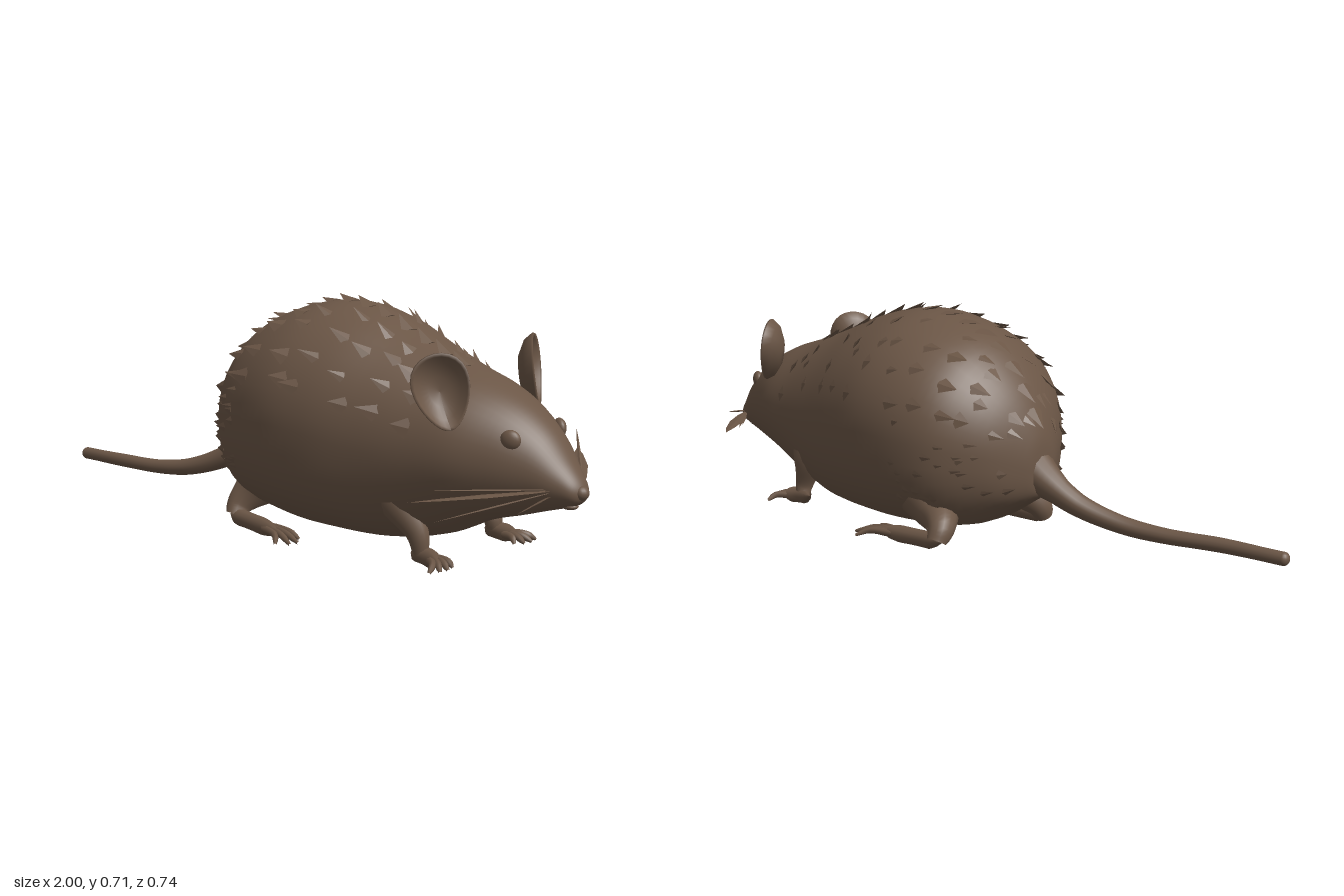
import * as THREE from 'three';
import { mergeGeometries } from 'three/addons/utils/BufferGeometryUtils.js';
import { ConvexGeometry } from 'three/addons/geometries/ConvexGeometry.js';

const V = (x, y, z) => new THREE.Vector3(x, y, z);

// Body stations from rump to snout: x, top, bottom, half width, centre z
const STATIONS = [
  [-0.295, 0.27, 0.2, 0.02, 0.035], [-0.28, 0.37, 0.17, 0.075, 0.03], [-0.22, 0.5, 0.13, 0.185, 0.02],
  [-0.12, 0.61, 0.07, 0.285, 0.02], [0, 0.665, 0.048, 0.33, 0.02], [0.15, 0.69, 0.036, 0.34, 0.022],
  [0.3, 0.665, 0.035, 0.315, 0.02], [0.45, 0.605, 0.042, 0.275, 0.012], [0.58, 0.555, 0.075, 0.238, 0.005],
  [0.7, 0.515, 0.13, 0.2, -0.005], [0.8, 0.465, 0.16, 0.148, -0.015], [0.88, 0.4, 0.185, 0.1, -0.025],
  [0.94, 0.325, 0.203, 0.062, -0.031], [0.975, 0.28, 0.217, 0.037, -0.035], [0.99, 0.25, 0.235, 0.008, -0.037],
];
const heightCurve = new THREE.CatmullRomCurve3(STATIONS.map(s => V(s[0], s[1], s[2])), false, 'catmullrom', 0.5);
const widthCurve = new THREE.CatmullRomCurve3(STATIONS.map(s => V(s[0], s[3], s[4])), false, 'catmullrom', 0.5);

// Point on the body; angle 0 is the spine and PI the belly, which is fuller
function bodyPoint(u, a) {
  const h = heightCurve.getPoint(u), w = widthCurve.getPoint(u);
  const c = Math.cos(a), s = Math.sin(a);
  const e = c < 0 ? 2 / (2.5 - 0.55 * THREE.MathUtils.smoothstep(h.x, 0.3, 0.65)) : 1;
  const bend = k => Math.sign(k) * Math.pow(Math.abs(k), e);
  return V(h.x, (h.y + h.z) / 2 + bend(c) * (h.y - h.z) / 2, w.z + bend(s) * w.y);
}

function bodyNormal(u, a) {
  const du = bodyPoint(u + 0.005, a).sub(bodyPoint(u - 0.005, a));
  const da = bodyPoint(u, a + 0.02).sub(bodyPoint(u, a - 0.02));
  return da.cross(du).normalize();
}

function bodyGeometry(rows = 70, cols = 40) {
  const pos = [], index = [];
  for (let i = 0; i <= rows; i++)
    for (let j = 0; j < cols; j++) pos.push(...bodyPoint(i / rows, j / cols * Math.PI * 2).toArray());
  for (let i = 0; i < rows; i++)
    for (let j = 0; j < cols; j++) {
      const k = (j + 1) % cols, a = i * cols, b = a + cols;
      index.push(a + j, a + k, b + j, a + k, b + k, b + j);
    }
  const g = new THREE.BufferGeometry();
  g.setAttribute('position', new THREE.Float32BufferAttribute(pos, 3));
  g.setIndex(index);
  g.computeVertexNormals();
  return g;
}

// Tube through points whose radius follows a list of values
function taper(points, radii, steps = 16, sides = 10) {
  const curve = new THREE.CatmullRomCurve3(points.map(p => V(...p)));
  const g = new THREE.TubeGeometry(curve, steps, 1, sides);
  const p = g.attributes.position, v = V(0, 0, 0);
  for (let n = 0; n < p.count; n++) {
    const t = Math.floor(n / (sides + 1)) / steps;
    const f = t * (radii.length - 1), i = Math.min(Math.floor(f), radii.length - 2);
    const r = THREE.MathUtils.lerp(radii[i], radii[i + 1], f - i), c = curve.getPointAt(t);
    v.fromBufferAttribute(p, n).sub(c).multiplyScalar(r).add(c);
    p.setXYZ(n, v.x, v.y, v.z);
  }
  return g;
}

function ball(x, y, z, sx, sy, sz) {
  return new THREE.SphereGeometry(1, 18, 12).scale(sx, sy, sz).translate(x, y, z);
}

// Foot with a flat sole and four spread toes pointing forward and outward
function foot(x, y, z, length, side) {
  const parts = [taper(
    [[x - 0.02, y + 0.032, z], [x + length * 0.3, y + 0.026, z], [x + length * 0.75, y + 0.022, z + side * 0.012]],
    [0, 0.026, 0.025, 0.025, 0.026, 0.02, 0])];
  for (let i = 0; i < 4; i++) {
    const s = (i - 1.5) * side, reach = length * (i === 0 || i === 3 ? 0.9 : 1);
    const z0 = z + s * 0.01, z1 = z + s * 0.03 + side * 0.02;
    parts.push(taper(
      [[x + length * 0.5, y + 0.024, z0], [x + length * 0.8, y + 0.022, (z0 + z1) / 2], [x + reach, y + 0.006, z1]],
      [0.01, 0.012, 0.011, 0.01, 0.009, 0.004], 8, 7));
  }
  return mergeGeometries(parts);
}

// Cupped ear: a thick shallow bowl, narrower towards its root
function earGeometry() {
  const profile = [[0, -0.035], [0.04, -0.031], [0.075, -0.012], [0.09, 0.012], [0.088, 0.018],
    [0.081, 0.014], [0.065, -0.004], [0.035, -0.019], [0, -0.023]];
  const g = new THREE.LatheGeometry(profile.map(p => new THREE.Vector2(...p)), 28).rotateX(Math.PI / 2);
  const p = g.attributes.position;
  for (let i = 0; i < p.count; i++) {
    const y = p.getY(i);
    p.setXY(i, p.getX(i) * (0.84 + y * 2.6), y * 1.14);
  }
  g.computeVertexNormals();
  return g;
}

// Pointed fur tufts lying back along the coat
function tuftGeometry() {
  let seed = 11;
  const rnd = () => (seed = (seed * 16807) % 2147483647) / 2147483647;
  const tufts = [];
  const add = (u, a, width, length, lift) => {
    const n = bodyNormal(u, a), at = bodyPoint(u, a);
    const along = V(-1, 0, 0).addScaledVector(n, n.x).normalize();
    const dir = along.addScaledVector(n, lift).normalize();
    const out = n.clone().addScaledVector(dir, -n.dot(dir)).normalize();
    const m = new THREE.Matrix4().makeBasis(dir.clone().cross(out), dir, out).setPosition(at);
    const g = new THREE.ConeGeometry(width, length, 4).toNonIndexed();
    g.scale(1, 1, 0.2).translate(0, length * 0.25, 0).applyMatrix4(m);
    g.computeVertexNormals();
    tufts.push(g);
  };
  for (let i = 0; i < 14; i++) add(0.1 + i * 0.037, 0, 0.038, 0.07, 0.3);
  for (let i = 0; i < 10; i++)
    for (const side of [-1, 1])
      for (let k = 0; k < 4; k++)
        add(0.12 + i * 0.05 + (rnd() - 0.5) * 0.04, side * (0.25 + k * 0.28 + rnd() * 0.18),
          0.018 + rnd() * 0.016, 0.045 + rnd() * 0.03, 0.3 + rnd() * 0.2);
  // Smaller tufts over the haunches
  for (const side of [-1, 1])
    for (let i = 0; i < 24; i++)
      add(0.1 + rnd() * 0.2, side * (1.3 + rnd() * 0.9), 0.01 + rnd() * 0.01, 0.025 + rnd() * 0.025, 0.4);
  return mergeGeometries(tufts);
}

// Flat pointed whisker blade, broad in the horizontal plane
function whisker(base, tip, width) {
  const a = V(...base), b = V(...tip);
  const across = V(b.z - a.z, 0, a.x - b.x).normalize();
  const points = [a, b];
  for (const [t, k] of [[0.2, 0.65], [0.5, 1], [0.8, 0.6]]) {
    const c = a.clone().lerp(b, t);
    for (const s of [-1, 1])
      points.push(c.clone().addScaledVector(across, s * k * width), c.clone().add(V(0, s * k * 0.003, 0)));
  }
  return new ConvexGeometry(points);
}

export function createModel() {
  const model = new THREE.Group();
  model.name = 'mouse';
  const fur = new THREE.MeshStandardMaterial({ color: 0x6b5646 });
  fur.name = 'brownFur';
  const add = (name, geometry) => {
    const mesh = new THREE.Mesh(geometry, fur);
    mesh.name = name;
    model.add(mesh);
    return mesh;
  };

  add('body', bodyGeometry());
  add('furTufts', tuftGeometry());
  add('tail', mergeGeometries([taper(
    [[-0.22, 0.27, 0.03], [-0.3, 0.21, 0.05], [-0.38, 0.15, 0.09], [-0.5, 0.105, 0.14], [-0.62, 0.09, 0.175],
      [-0.8, 0.09, 0.215], [-0.985, 0.088, 0.235]],
    [0.08, 0.058, 0.041, 0.034, 0.03, 0.027, 0.025, 0.023, 0.022, 0.022, 0.021, 0.02, 0.02], 48, 14),
  ball(-0.984, 0.088, 0.235, 0.017, 0.02, 0.02)]));

  // Nose and lower lip
  add('nose', ball(0.978, 0.248, -0.036, 0.022, 0.02, 0.022));
  add('lowerLip', ball(0.945, 0.209, -0.033, 0.024, 0.01, 0.022));

  for (const side of [1, -1]) {
    const label = side > 0 ? 'front' : 'back';
    const ear = add(label + 'Ear', earGeometry());
    ear.position.set(side > 0 ? 0.69 : 0.67, side > 0 ? 0.498 : 0.52, side > 0 ? 0.185 : -0.185);
    ear.rotation.set(-0.12, Math.PI / 2 - side * 0.6, side * 0.22, 'YXZ');

    const eye = add(label + 'Eye', ball(0, 0, 0, 0.028, 0.027, 0.017));
    eye.position.set(0.838, side > 0 ? 0.38 : 0.39, -0.015 + side * 0.096);
    eye.rotation.y = side * 0.5;

    // Fore limb, broad at the shoulder
    const fz = side > 0 ? 0.125 : -0.17, fy = side > 0 ? 0 : 0.022;
    add(label + 'ForeLeg', taper(
      [[0.45, 0.31, side * 0.15], [0.51, 0.19, side * 0.165], [0.56, 0.085, (fz + side * 0.15) / 2], [0.56, fy + 0.02, fz]],
      [0, 0.095, 0.088, 0.076, 0.06, 0.045, 0.034, 0.027, 0.02], 24, 14));
    add(label + 'ForeFoot', foot(0.545, fy, fz, 0.125, side));

    // Hind limb, mostly hidden in the haunch
    const hz = side > 0 ? 0.25 : -0.245, hy = side > 0 ? 0 : 0.03;
    add(label + 'HindLeg', taper(
      [[0, 0.2, side * 0.18], [-0.07, 0.13, side * 0.19], [-0.115, hy + 0.065, hz - side * 0.02], [-0.115, hy + 0.03, hz]],
      [0, 0.09, 0.08, 0.068, 0.052, 0.04, 0.03], 24, 14));
    add(label + 'HindFoot', foot(-0.12, hy, hz, 0.31, side));

    // Whiskers fan out sideways and sweep back
    const tips = side > 0
      ? [[0.71, 0.23, 0.325, 0.022], [0.75, 0.26, 0.27, 0.006], [0.76, 0.18, 0.28, 0.005], [0.87, 0.19, 0.09, 0.008]]
      : [[0.68, 0.28, -0.38, 0.022], [0.7, 0.34, -0.35, 0.005], [0.75, 0.265, -0.27, 0.006], [0.82, 0.25, -0.2, 0.006]];
    add(label + 'Whiskers', mergeGeometries(tips.map(([x, y, z, width]) =>
      whisker([0.95, 0.257, -0.036 + side * 0.04], [x, y, z], width))));
  }
  return model;
}
